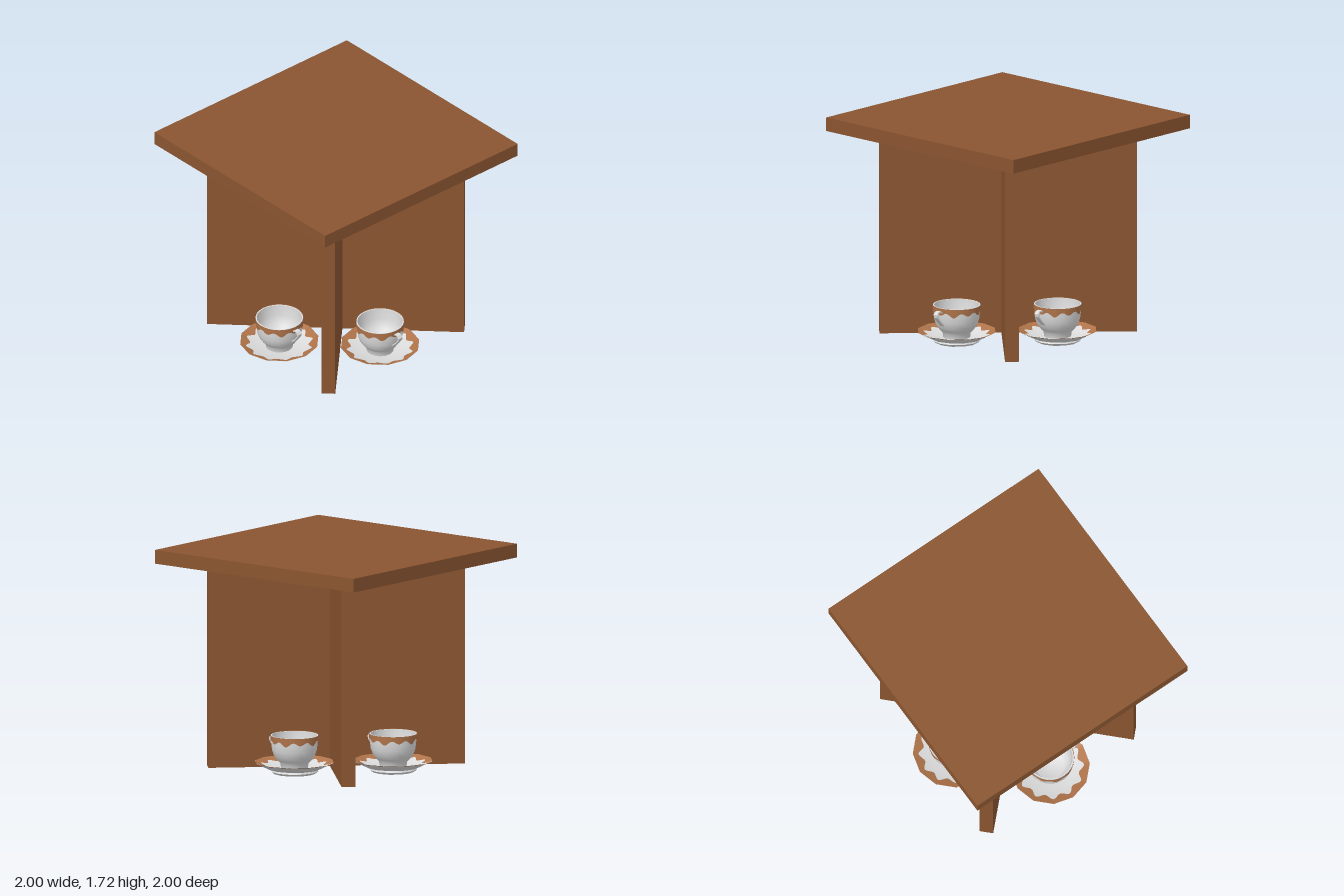
import * as THREE from 'three';
import { toCreasedNormals } from 'three/addons/utils/BufferGeometryUtils.js';

const mat = (name, color, side = THREE.FrontSide) => {
  const m = new THREE.MeshStandardMaterial({ color, side });
  m.name = name;
  return m;
};

const points = (list) => list.map(([x, y]) => new THREE.Vector2(x, y));

// Outer cup wall, reused by the glaze band so that it follows the belly
const CUP_WALL = [[0.105, 0.045], [0.11, 0.085], [0.135, 0.11], [0.16, 0.145], [0.175, 0.19], [0.181, 0.24], [0.185, 0.306]];

function wallRadius(y) {
  for (let i = 1; i < CUP_WALL.length; i++) {
    const [r0, y0] = CUP_WALL[i - 1], [r1, y1] = CUP_WALL[i];
    if (y <= y1) return r0 + (r1 - r0) * (y - y0) / (y1 - y0);
  }
  return CUP_WALL[CUP_WALL.length - 1][0];
}

// Ring surface from rule(t, angle) -> [radius, y], with t from 0 to 1
function ringBand(rule, rows = 4, segments = 96) {
  const rowsList = Array.from({ length: rows + 1 }, (_, i) => [1, i / rows]);
  const geometry = new THREE.LatheGeometry(points(rowsList), segments);
  const p = geometry.attributes.position;
  for (let i = 0; i < p.count; i++) {
    const angle = Math.floor(i / (rows + 1)) / segments * Math.PI * 2;
    const [r, y] = rule(p.getY(i), angle);
    p.setXYZ(i, r * Math.sin(angle), y, r * Math.cos(angle));
  }
  geometry.computeVertexNormals();
  return geometry;
}

export function createModel() {
  const wood = mat('wood brown', 0x8a5530);
  const china = mat('china white', 0xdcdcdc);
  const glaze = mat('glaze tan', 0xb0744a, THREE.DoubleSide);

  const model = new THREE.Group();
  model.name = 'tableWithTeacups';
  const add = (parent, name, geometry, material) => {
    const mesh = new THREE.Mesh(geometry, material);
    mesh.name = name;
    parent.add(mesh);
    return mesh;
  };

  // Table top and the two crossed planks carrying it
  add(model, 'tableTop', new THREE.BoxGeometry(2, 0.108, 2), wood).position.y = 1.664;
  for (const s of [1, -1]) {
    const plank = add(model, s > 0 ? 'plankA' : 'plankB', new THREE.BoxGeometry(2, 1.61, 0.107), wood);
    plank.position.y = 0.805;
    plank.rotation.y = s * Math.PI / 4;
  }

  // Twelve-sided saucer
  const saucerGeometry = toCreasedNormals(new THREE.LatheGeometry(points([
    [0, 0.006], [0.165, 0.006], [0.188, 0.024], [0.18, 0.042], [0.205, 0.042],
    [0.31, 0.094], [0.2, 0.05], [0, 0.046],
  ]), 12), 0.6);

  // Scalloped glaze lying on the sloping saucer rim
  const step = Math.PI / 6;
  const saucerGlaze = ringBand((t, a) => {
    const inner = 0.25 + 0.016 * Math.cos(a * 12);
    const r = 0.31 + (inner - 0.31) * t;
    const polygon = Math.cos(step / 2) / Math.cos((a % step) - step / 2);
    return [r * polygon, 0.097 - (0.31 - r) * 0.4];
  });

  // Hollow cup with a thin rim
  const cupGeometry = toCreasedNormals(new THREE.LatheGeometry(points([
    [0, 0.045], ...CUP_WALL,
    [0.176, 0.306], [0.17, 0.22], [0.15, 0.15], [0.11, 0.11], [0, 0.1],
  ]), 24), 0.7);

  // Dripping glaze around the upper cup wall
  const cupGlaze = ringBand((t, a) => {
    const low = 0.257 + 0.014 * Math.cos(a * 10) + 0.005 * Math.sin(a * 5);
    const y = low + (0.307 - low) * t;
    return [wallRadius(y) + 0.003, y];
  });

  // Ribbon handle: outer edge and inner edge of a bent strip
  const handleShape = new THREE.Shape(points([
    [0.172, 0.27], [0.195, 0.287], [0.225, 0.284], [0.241, 0.262], [0.236, 0.238], [0.205, 0.2], [0.16, 0.158],
    [0.158, 0.17], [0.195, 0.204], [0.226, 0.24], [0.23, 0.259], [0.219, 0.275], [0.198, 0.278], [0.174, 0.258],
  ].reverse()));
  const handleGeometry = new THREE.ExtrudeGeometry(handleShape, { depth: 0.04, bevelEnabled: false });
  handleGeometry.translate(0, 0, -0.02);

  // One cup and saucer in each bay between the planks
  const places = { front: [-0.01, 0.58], back: [-0.01, -0.52], left: [0.55, 0.03], right: [-0.55, 0.03] };
  for (const [side, [x, z]] of Object.entries(places)) {
    const set = new THREE.Group();
    set.name = side + 'CupAndSaucer';
    set.position.set(x, 0, z);
    add(set, 'saucer', saucerGeometry, china);
    add(set, 'saucerGlaze', saucerGlaze, glaze);
    add(set, 'cup', cupGeometry, china);
    add(set, 'cupGlaze', cupGlaze, glaze);
    add(set, 'handle', handleGeometry, china);
    model.add(set);
  }
  return model;
}
